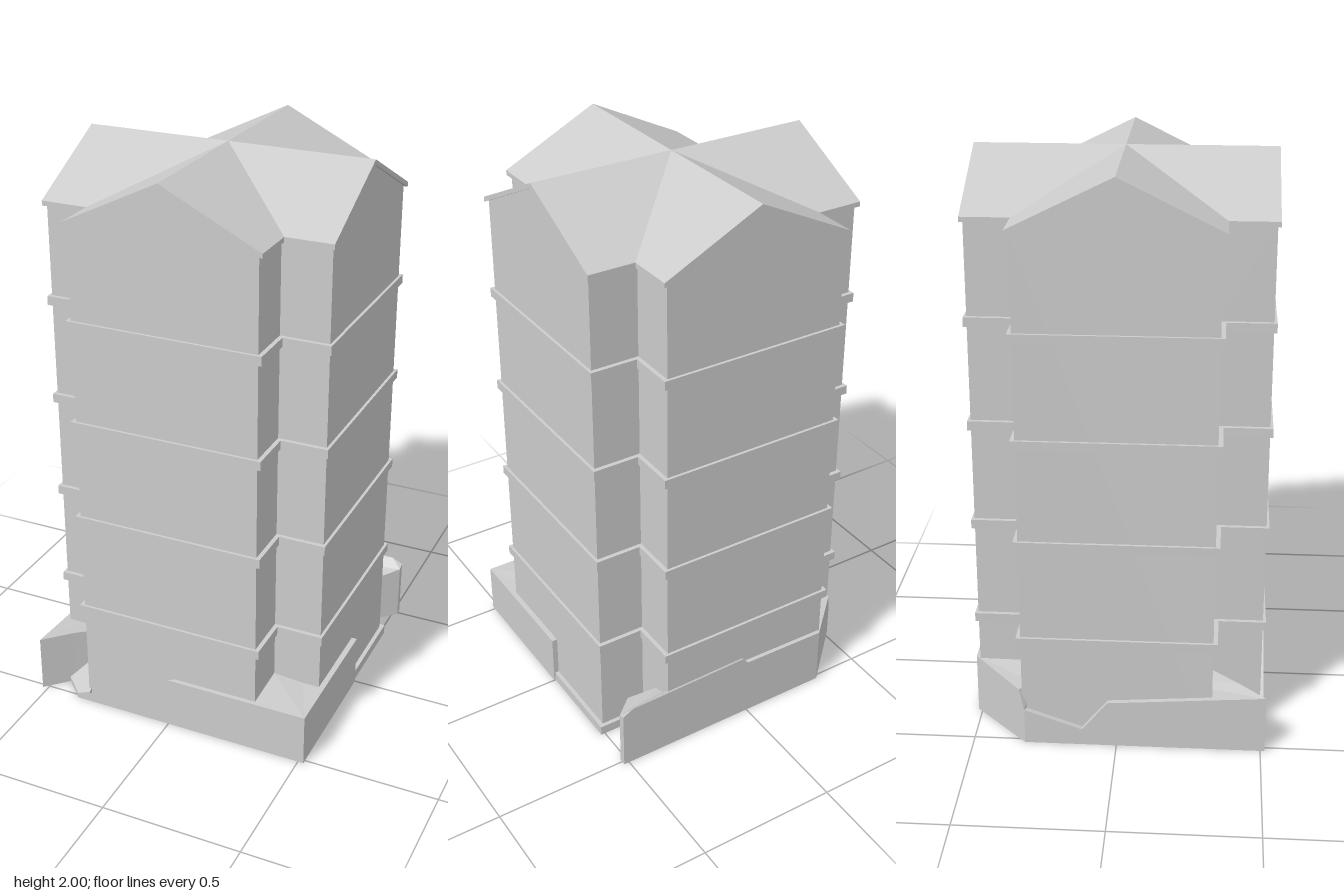
import * as THREE from 'three';

const grey = new THREE.MeshStandardMaterial({ color: 0xcccccc, flatShading: true });

// Solid with a plan outline of [x, z, topY, bottomY = 0] corners
function prism(name, corners) {
  let pts = corners.map(([x, z, top, bottom = 0]) => ({ x, z, top, bottom }));
  let plan = pts.map(p => new THREE.Vector2(p.x, -p.z));
  if (THREE.ShapeUtils.isClockWise(plan)) {
    pts = pts.reverse();
    plan = plan.reverse();
  }
  const pos = [];
  const hi = p => pos.push(p.x, p.top, p.z);
  const lo = p => pos.push(p.x, p.bottom, p.z);
  for (const [a, b, c] of THREE.ShapeUtils.triangulateShape(plan, [])) {
    hi(pts[a]); hi(pts[b]); hi(pts[c]);
    lo(pts[a]); lo(pts[c]); lo(pts[b]);
  }
  pts.forEach((p, i) => {
    const q = pts[(i + 1) % pts.length];
    lo(p); lo(q); hi(q);
    lo(p); hi(q); hi(p);
  });
  const geo = new THREE.BufferGeometry();
  geo.setAttribute('position', new THREE.Float32BufferAttribute(pos, 3));
  geo.computeVertexNormals();
  const mesh = new THREE.Mesh(geo, grey);
  mesh.name = name;
  return mesh;
}

// Cross-shaped plan: arm half-width w, reach r
function crossPlan(w, r, bottom, top) {
  return [[w, r], [w, w], [r, w], [r, -w], [w, -w], [w, -r],
    [-w, -r], [-w, -w], [-r, -w], [-r, w], [-w, w], [-w, r]].map(([x, z]) => [x, z, top, bottom]);
}

export function createModel() {
  const model = new THREE.Group();
  model.name = 'tower';

  // Two crossing gabled wings
  const gable = new THREE.Shape([[-0.33, 0], [0.33, 0], [0.33, 1.82], [0, 1.983], [-0.33, 1.82]]
    .map(([x, y]) => new THREE.Vector2(x, y)));
  for (let i = 0; i < 2; i++) {
    const geo = new THREE.ExtrudeGeometry(gable, { depth: 1, bevelEnabled: false });
    geo.translate(0, 0, -0.5);
    geo.rotateY(i * Math.PI / 2);
    const wing = new THREE.Mesh(geo, grey);
    wing.name = 'wing';
    model.add(wing);
  }

  // Floor bands
  for (let i = 0; i < 4; i++) {
    const y = 0.376 + i * 0.363;
    model.add(prism('floorBand', crossPlan(0.345, 0.51, y, y + 0.032)));
  }

  // Cross-gable roof: eight sloping slabs meeting at the centre
  const roof = new THREE.Group();
  roof.name = 'roof';
  const t = 0.017;
  for (let i = 0; i < 4; i++) {
    for (const s of [-1, 1]) {
      const slab = prism('roofSlope', [
        [0, 0, 2, 2 - t], [0.51, 0, 2, 2 - t],
        [0.51, s * 0.345, 1.83, 1.83 - t], [0.345, s * 0.345, 1.83, 1.83 - t]]);
      slab.rotation.y = i * Math.PI / 2;
      roof.add(slab);
    }
  }
  model.add(roof);

  // Low ground slab with cut corners
  const outline = [[-0.37, 0.515], [0.515, 0.515], [0.515, -0.345], [0.42, -0.345], [0.43, -0.43],
    [0.51, -0.51], [-0.32, -0.515], [-0.515, -0.32], [-0.515, 0.51], [-0.445, 0.44]];
  model.add(prism('groundSlab', outline.map(([x, z]) => [x, z, x > 0.4 ? 0.035 : 0.02])));

  // Front bank, ramping up to the raised corner
  model.add(prism('frontBank', [
    [-0.37, 0.515, 0.01], [-0.33, 0.515, 0.03], [0, 0.515, 0.19], [0.52, 0.515, 0.19],
    [0.52, 0, 0.19], [0.3, 0, 0.19], [0.3, 0.3, 0.2], [0, 0.3, 0.19], [-0.33, 0.3, 0.03]]));

  // Slope inside the front notch
  model.add(prism('notchSlope', [
    [-0.445, 0.44, 0.02], [-0.37, 0.515, 0.02], [-0.32, 0.515, 0.04],
    [-0.32, 0.32, 0.14], [-0.38, 0.375, 0.08]]));

  // Side bank: high at the front corner, dipping in the middle
  model.add(prism('sideBank', [
    [-0.52, 0.515, 0.21], [-0.43, 0.425, 0.21], [-0.345, 0.345, 0.2], [-0.3, 0.3, 0.2],
    [-0.3, -0.03, 0.16], [-0.52, -0.03, 0.17]]));
  model.add(prism('sideDip', [
    [-0.52, -0.03, 0.17], [-0.52, -0.12, 0.06], [-0.4, -0.12, 0.06], [-0.4, -0.03, 0.17]]));
  model.add(prism('sideLowBank', [
    [-0.52, -0.12, 0.06], [-0.52, -0.32, 0.13], [-0.4, -0.32, 0.13], [-0.4, -0.12, 0.06]]));

  // Back bank with a cut corner and a step up
  model.add(prism('backCorner', [
    [-0.52, -0.32, 0.13], [-0.5, -0.34, 0.2], [-0.32, -0.515, 0.22], [-0.3, -0.3, 0.22], [-0.45, -0.3, 0.2]]));
  model.add(prism('backBank', [
    [-0.32, -0.515, 0.22], [0, -0.515, 0.225], [0, -0.4, 0.225], [-0.32, -0.4, 0.22]]));
  model.add(prism('backHighBank', [
    [0, -0.515, 0.225], [0.02, -0.515, 0.25], [0.48, -0.515, 0.24], [0.52, -0.515, 0.22],
    [0.52, -0.49, 0.21], [0.44, -0.41, 0.19], [0.3, -0.42, 0.19], [0.02, -0.42, 0.2], [0, -0.42, 0.2]]));

  return model;
}
